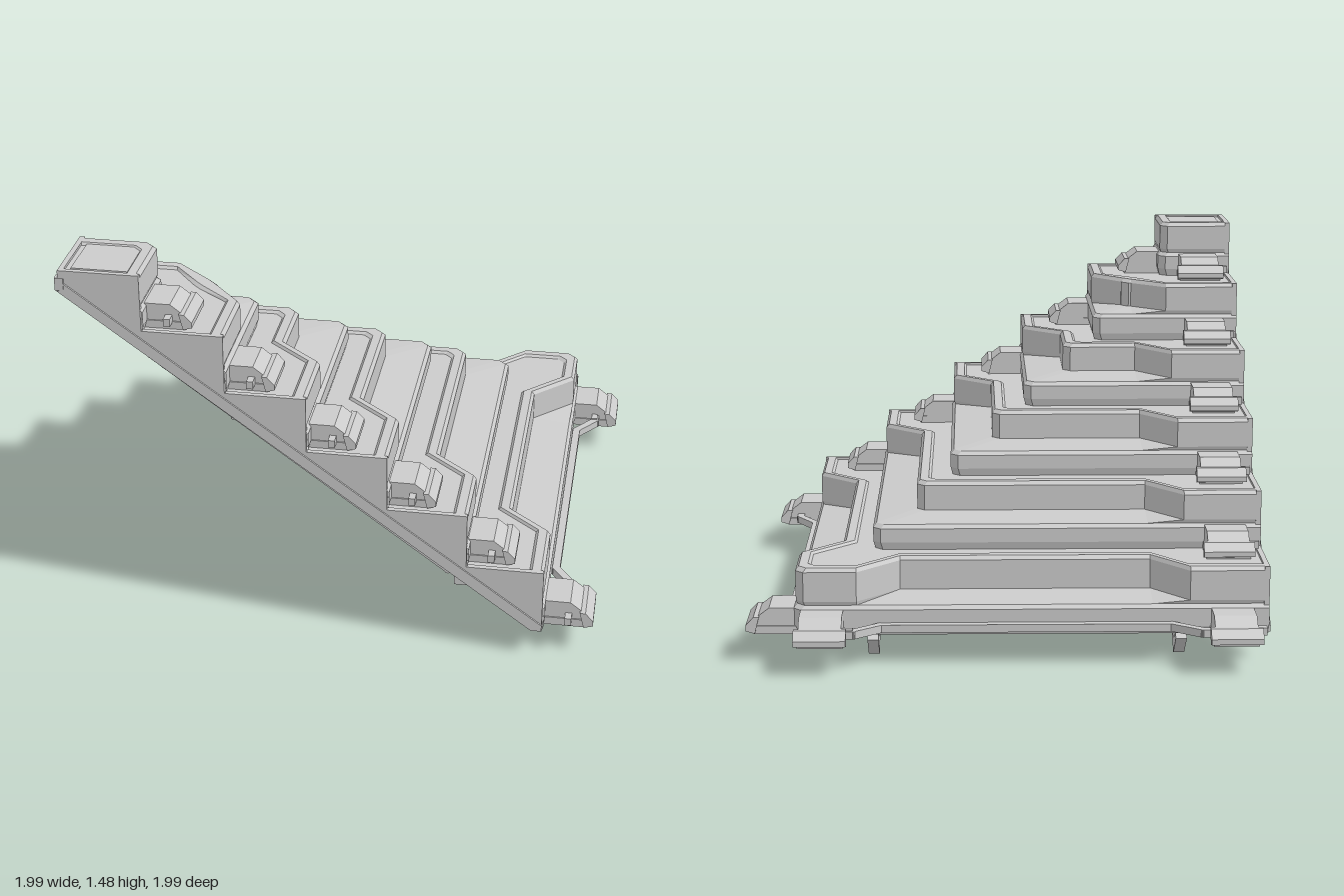
import * as THREE from 'three';

const EDGE = 0.98;                                       // plane of the two open sides
const BOUND = [-0.68, -0.38, -0.08, 0.22, 0.52, 0.81];   // outer reach of each step
const SETBACK = [0, 0.12, 0.16, 0.16, 0.16, 0.16];       // recess of each step's middle
const TOP = [1.48, 1.26, 1.03, 0.81, 0.59, 0.37, 0.12];  // tread heights, then the base
const grey = new THREE.MeshStandardMaterial({ color: 0xcccccc, flatShading: true });
const greyDouble = new THREE.MeshStandardMaterial({ color: 0xcccccc, flatShading: true, side: THREE.DoubleSide });

// Reflect a geometry across the diagonal (x, z) -> (-z, -x), keeping faces outward
function reflect(geo) {
  const g = geo.index ? geo.toNonIndexed() : geo.clone();
  const p = g.attributes.position;
  for (let i = 0; i < p.count; i++) p.setXYZ(i, -p.getZ(i), p.getY(i), -p.getX(i));
  for (let i = 0; i < p.count; i += 3) {
    const b = [p.getX(i + 1), p.getY(i + 1), p.getZ(i + 1)];
    p.setXYZ(i + 1, p.getX(i + 2), p.getY(i + 2), p.getZ(i + 2));
    p.setXYZ(i + 2, ...b);
  }
  g.computeVertexNormals();
  return g;
}

// L-shaped contour around the top corner; the middle is set back by r,
// and with "returns" it comes forward again at the outer corner
function contour(b, r, y, returns = false) {
  const c = b - r, k = returns ? b : c, near = Math.min(EDGE, 0.03 - k);
  const half = [[b, EDGE], [b, 0.68], [c, 0.54], [c, returns ? -0.42 : near], [k, returns ? -0.58 : near], [k, near]]
    .map(([x, z]) => [x, Math.max(z, near)]);
  const other = half.map(([x, z]) => [-z, -x]).reverse();
  return [...half, ...other].map(([x, z]) => [x, y, z]);
}

// Skin between successive contours
function loft(rings) {
  const pos = [];
  for (let i = 0; i + 1 < rings.length; i++) {
    for (let j = 0; j + 1 < rings[i].length; j++) {
      const a = rings[i][j], b = rings[i][j + 1], c = rings[i + 1][j], d = rings[i + 1][j + 1];
      pos.push(...a, ...c, ...b, ...b, ...c, ...d);
    }
  }
  const g = new THREE.BufferGeometry();
  g.setAttribute('position', new THREE.Float32BufferAttribute(pos, 3));
  g.computeVertexNormals();
  return g;
}

// Outline in x/y given a depth in z, centred on z
function plate(points, depth, z) {
  const shape = new THREE.Shape(points.map(p => new THREE.Vector2(...p)));
  return new THREE.ExtrudeGeometry(shape, { depth, bevelEnabled: false }).translate(0, 0, z - depth / 2);
}

function box(w, h, d, x, y, z) {
  return new THREE.BoxGeometry(w, h, d).translate(x, y, z);
}

// Square bar between two points
function bar(a, b, w, d = w) {
  const A = new THREE.Vector3(...a), B = new THREE.Vector3(...b);
  const len = A.distanceTo(B);
  const m = new THREE.Matrix4().lookAt(B, A, new THREE.Vector3(0, 1, 0));
  m.setPosition(A.add(B).multiplyScalar(0.5));
  return new THREE.BoxGeometry(d, w, len + w * 0.6).applyMatrix4(m);
}

export function createModel() {
  const root = new THREE.Group();
  root.name = 'cornerStaircase';

  const add = (name, geo, mat = grey) => {
    const mesh = new THREE.Mesh(geo, mat);
    mesh.name = name;
    root.add(mesh);
  };
  const addPair = (name, geo) => {
    add(name + 'Right', geo);
    add(name + 'Back', reflect(geo));
  };

  // Steps: tread, raised kerb, riser and slightly sloping lower ledge
  BOUND.forEach((b, k) => {
    const t = TOP[k], r = SETBACK[k], last = k === 5;
    const ledge = t - (last ? 0.13 : 0.115);
    add('step' + (k + 1), loft([
      contour(k ? BOUND[k - 1] : -EDGE, 0, t - 0.01),
      contour(b - 0.055, r, t - 0.01, last),
      contour(b - 0.045, r, t, last),
      contour(b - 0.012, r, t, last),
      contour(b, r, t - 0.015, last),
      contour(b, r, ledge, last),
      contour(b - 0.005, 0, ledge - 0.015, last),
      contour(b + 0.008, 0, ledge - 0.03, last),
      contour(b + 0.008, 0, TOP[k + 1] + 0.02, last),
      contour(b, 0, TOP[k + 1] - 0.01, last),
    ]), greyDouble);
  });

  // Inset panel on the top landing
  add('landingPanel', box(0.22, 0.02, 0.22, -0.83, 1.465, 0.83));

  // Sloping hollow underside
  add('underside', loft([contour(-EDGE, 0, 1.42), contour(0.81, 0, 0.11)]), greyDouble);

  // Stepped side walls with a proud stringer along the slope
  const profile = [[-0.98, 1.42], [0.81, 0.11]];
  for (let k = 5; k >= 0; k--) {
    profile.push([BOUND[k], TOP[k + 1]], [BOUND[k], TOP[k]]);
  }
  profile.push([-0.98, TOP[0]]);
  addPair('sideWall', plate(profile, 0.02, 0.97));
  addPair('stringer', plate([[-0.99, 1.405], [0.77, 0.115], [0.81, 0.115], [0.81, 0.14], [-0.99, 1.455]], 0.03, 0.972));

  // Tapering beam fixed under each flight
  addPair('undersideBeam', plate([[-0.72, 1.13], [0.79, 0.113], [-0.6, 1.13]], 0.21, 0.645));

  // Sloping braces below the flights
  const brace = [[-0.72, 1.15], [-0.72, 1.0], [0.42, 0.155], [0.6, 0.155]];
  for (let i = 0; i < 3; i++) {
    addPair('brace' + i, bar([...brace[i], 0.65], [...brace[i + 1], 0.65], 0.045, 0.05));
  }
  addPair('braceHanger', box(0.05, 0.16, 0.05, -0.57, 0.98, 0.65));

  // V-shaped feet with collars, two along each outer side
  const vee = [[0.5, 0.155], [0.71, 0], [0.8, 0.085], [0.77, 0.115], [0.71, 0.055], [0.56, 0.17]];
  for (const [name, z] of [['outerFoot', 0.65], ['cornerFoot', -0.52]]) {
    addPair(name, plate(vee, 0.042, z));
    addPair(name + 'Collar', box(0.13, 0.05, 0.1, 0.51, 0.125, z));
  }
  addPair('footPost', box(0.042, 0.17, 0.042, 0.52, 0.2, 0.65));

  // Clips standing out from the risers
  const clip = (name, x, y, z, s) => {
    const at = pts => pts.map(([u, v]) => [x + u * s, y + v * s]);
    addPair(name + 'Body', plate(at([[-0.02, -0.01], [0.15, -0.01], [0.16, 0.035], [0.095, 0.085], [-0.02, 0.085]]), 0.16, z));
    addPair(name + 'Hook', plate(at([[0.145, -0.005], [0.178, 0.005], [0.178, 0.025], [0.15, 0.055], [0.13, 0.055]]), 0.195, z));
    addPair(name + 'Base', plate(at([[-0.01, -0.01], [0.15, -0.01], [0.15, 0.02], [-0.01, 0.02]]), 0.17, z));
    addPair(name + 'Pin', box(0.025, 0.03, 0.12, x + 0.09 * s, y + 0.03, z + 0.06));
  };
  BOUND.forEach((b, k) => clip('clip' + (k + 1), b, TOP[k + 1], 0.84, k === 5 ? 1.07 : 1));
  clip('cornerClip', 0.81, TOP[6], -0.71, 1.07);

  // Rails joining the bottom clips
  const rail = [[0.91, 0.76], [0.91, 0.72], [0.835, 0.61], [0.835, -0.49], [0.91, -0.59], [0.91, -0.64]];
  for (let i = 0; i + 1 < rail.length; i++) {
    const [a, b] = [rail[i], rail[i + 1]];
    addPair('bottomRail' + i, bar([a[0], 0.145, a[1]], [b[0], 0.145, b[1]], 0.03));
  }

  return root;
}
